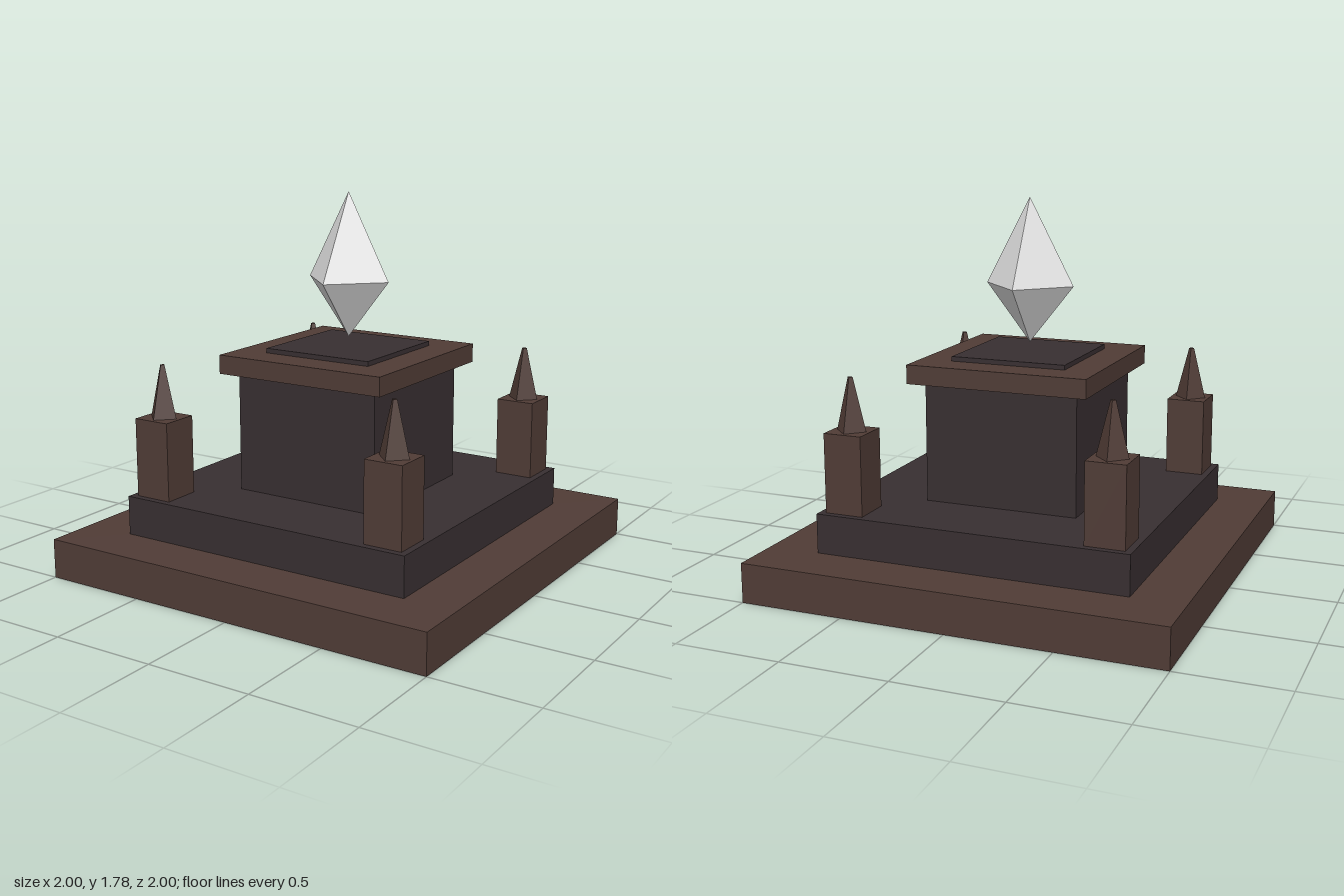
import * as THREE from 'three';

function flat(name, color) {
  const m = new THREE.MeshStandardMaterial({ color, flatShading: true });
  m.name = name;
  return m;
}

export function createModel() {
  const brown = flat('brown stone', 0x503c36);
  const dark = flat('dark stone', 0x382f31);
  const pale = flat('pale crystal', 0xdedede);

  const model = new THREE.Group();
  model.name = 'crystalShrine';

  // Square block from y0 to y1, centred on its parent's axis
  function block(parent, name, width, y0, y1, material) {
    const mesh = new THREE.Mesh(new THREE.BoxGeometry(width, y1 - y0, width), material);
    mesh.position.y = (y0 + y1) / 2;
    mesh.name = name;
    parent.add(mesh);
  }

  // Stepped base and altar
  block(model, 'lowerStep', 2, 0, 0.188, brown);
  block(model, 'upperStep', 1.5, 0.188, 0.375, dark);
  block(model, 'altarBody', 0.744, 0.375, 0.944, dark);
  block(model, 'altarCap', 0.874, 0.944, 1.034, brown);
  block(model, 'altarPlate', 0.56, 1.034, 1.056, dark);

  // Corner posts with blunt four-sided spikes
  for (const [x, side] of [[-0.625, 'Right'], [0.625, 'Left']]) {
    for (const [z, end] of [[-0.625, 'back'], [0.625, 'front']]) {
      const pillar = new THREE.Group();
      pillar.name = `${end}${side}Pillar`;
      pillar.position.set(x, 0, z);
      block(pillar, 'post', 0.186, 0.375, 0.75, brown);
      const spike = new THREE.Mesh(new THREE.CylinderGeometry(0.0125, 0.075, 0.25, 4), brown);
      spike.position.y = 0.875;
      spike.name = 'spike';
      pillar.add(spike);
      model.add(pillar);
    }
  }

  // Floating crystal, corners on the axes
  const profile = [[0, 1.097], [0.219, 1.372], [0, 1.782]].map(([r, y]) => new THREE.Vector2(r, y));
  const crystal = new THREE.Mesh(new THREE.LatheGeometry(profile, 4), pale);
  crystal.name = 'crystal';
  model.add(crystal);

  return model;
}
